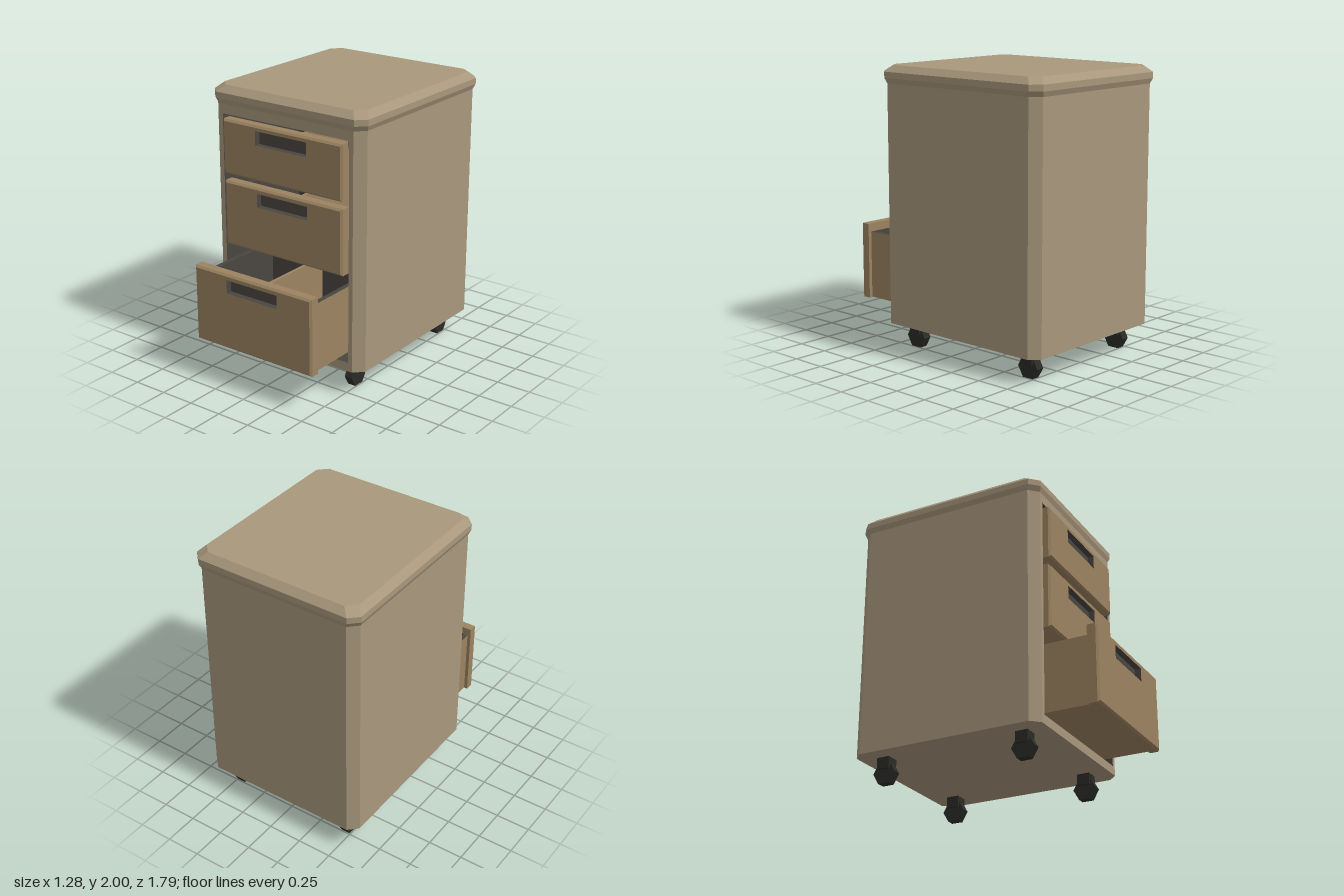
import * as THREE from 'three';

const paint = (color) => new THREE.MeshStandardMaterial({ color, flatShading: true });

// Skins a list of rings, ring by ring; can cap either end and leave out one side.
function loft(name, material, rings, { start = false, end = false, skip = -1 } = {}) {
  const pos = [];
  const tri = (a, b, c) => pos.push(...a, ...b, ...c);
  const n = rings[0].length;
  for (let r = 0; r < rings.length - 1; r++) {
    const a = rings[r], b = rings[r + 1];
    for (let i = 0; i < n; i++) {
      if (i === skip) continue;
      const j = (i + 1) % n;
      tri(a[i], a[j], b[j]);
      tri(a[i], b[j], b[i]);
    }
  }
  const first = rings[0], last = rings[rings.length - 1];
  for (let i = 1; i < n - 1; i++) {
    if (start) tri(first[0], first[i + 1], first[i]);
    if (end) tri(last[0], last[i], last[i + 1]);
  }
  const geo = new THREE.BufferGeometry();
  geo.setAttribute('position', new THREE.Float32BufferAttribute(pos, 3));
  geo.computeVertexNormals();
  const mesh = new THREE.Mesh(geo, material);
  mesh.name = name;
  return mesh;
}

// Upright rectangle facing +z
const rectXY = (hx, y0, y1, z) => [[-hx, y0, z], [hx, y0, z], [hx, y1, z], [-hx, y1, z]];
// Level rectangle facing +y
const rectXZ = (hx, z0, z1, y) => [[-hx, y, z1], [hx, y, z1], [hx, y, z0], [-hx, y, z0]];
// Level rectangle with cut corners; its first side is the front
function octXZ(hx, z0, z1, y, c = 0.065) {
  return [[-hx + c, z1], [hx - c, z1], [hx, z1 - c], [hx, z0 + c],
    [hx - c, z0], [-hx + c, z0], [-hx, z0 + c], [-hx, z1 - c]].map(([x, z]) => [x, y, z]);
}

function box(name, material, w, h, d, x, y, z) {
  const mesh = new THREE.Mesh(new THREE.BoxGeometry(w, h, d), material);
  mesh.name = name;
  mesh.position.set(x, y, z);
  return mesh;
}

export function createModel() {
  const model = new THREE.Group();
  model.name = 'drawerCabinet';
  const shellMat = paint(0xa8977c);
  const drawerMat = paint(0x9c8361);
  const darkMat = paint(0x4a4540);
  const casterMat = paint(0x2a2a27);

  // Cabinet shell, front frame and dark interior
  const zBack = -0.877, zFront = 0.525;
  const cabinet = new THREE.Group();
  cabinet.name = 'cabinet';
  cabinet.add(
    loft('shell', shellMat, [octXZ(0.627, zBack, zFront, 0.18), octXZ(0.627, zBack, zFront, 1.88)],
      { start: true, skip: 0 }),
    loft('frontFrame', shellMat, [rectXY(0.562, 0.18, 1.88, zFront), rectXY(0.53, 0.243, 1.808, zFront)]),
    loft('interior', darkMat, [rectXY(0.53, 0.243, 1.808, zFront), rectXY(0.53, 0.243, 1.808, -0.82)],
      { end: true }),
    // Flared and chamfered top
    loft('top', shellMat, [
      octXZ(0.627, zBack, zFront, 1.876),
      octXZ(0.642, -0.892, 0.538, 1.912),
      octXZ(0.642, -0.892, 0.538, 1.955),
      octXZ(0.596, -0.846, 0.485, 2),
    ], { start: true, end: true }),
  );
  model.add(cabinet);

  // Drawers: bevelled front with a recessed grip, and an open tray behind it
  function addDrawer(name, y0, y1, z, gripY0, gripY1, depth) {
    const drawer = new THREE.Group();
    drawer.name = name;
    const b = 0.014, back = z - 0.075, rear = back - depth, top = y1 - 0.06;
    const grip = (zz) => rectXY(0.215, gripY0, gripY1, zz);
    drawer.add(
      loft('drawerFront', drawerMat, [
        rectXY(0.5, y0, y1, back),
        rectXY(0.5, y0, y1, z - b),
        rectXY(0.5 - b, y0 + b, y1 - b, z),
        grip(z),
      ]),
      loft('drawerFrontBack', drawerMat, [rectXY(0.5, y0, y1, back)], { start: true }),
      loft('gripRecess', darkMat, [grip(z), grip(z - 0.045)], { end: true }),
      loft('trayOutside', drawerMat,
        [rectXZ(0.475, rear, back, y0 + 0.004), rectXZ(0.475, rear, back, top)], { start: true }),
      loft('trayInside', darkMat, [
        rectXZ(0.475, rear, back, top),
        rectXZ(0.44, rear + 0.03, back - 0.002, top),
        rectXZ(0.44, rear + 0.03, back - 0.002, y0 + 0.03),
      ], { end: true }),
      box('trayDivider', drawerMat, 0.025, top - y0 - 0.04, depth - 0.03,
        0, (top + y0 + 0.02) / 2, back - depth / 2),
    );
    model.add(drawer);
  }
  addDrawer('topDrawer', 1.397, 1.785, 0.565, 1.648, 1.748, 0.7);
  addDrawer('middleDrawer', 0.877, 1.345, 0.56, 1.208, 1.305, 0.7);
  addDrawer('bottomDrawer', 0.275, 0.825, 0.893, 0.688, 0.785, 0.72);

  // Casters: square housing over a six-sided wheel
  for (const x of [-0.463, 0.463]) {
    for (const z of [0.347, -0.7]) {
      const caster = new THREE.Group();
      caster.name = 'caster';
      caster.position.set(x, 0, z);
      const wheelGeo = new THREE.CylinderGeometry(0.084, 0.084, 0.06, 6);
      wheelGeo.rotateZ(Math.PI / 2);
      const wheel = new THREE.Mesh(wheelGeo, casterMat);
      wheel.name = 'wheel';
      wheel.position.y = 0.0735;
      caster.add(wheel, box('housing', casterMat, 0.095, 0.082, 0.092, 0, 0.141, 0));
      model.add(caster);
    }
  }
  return model;
}
